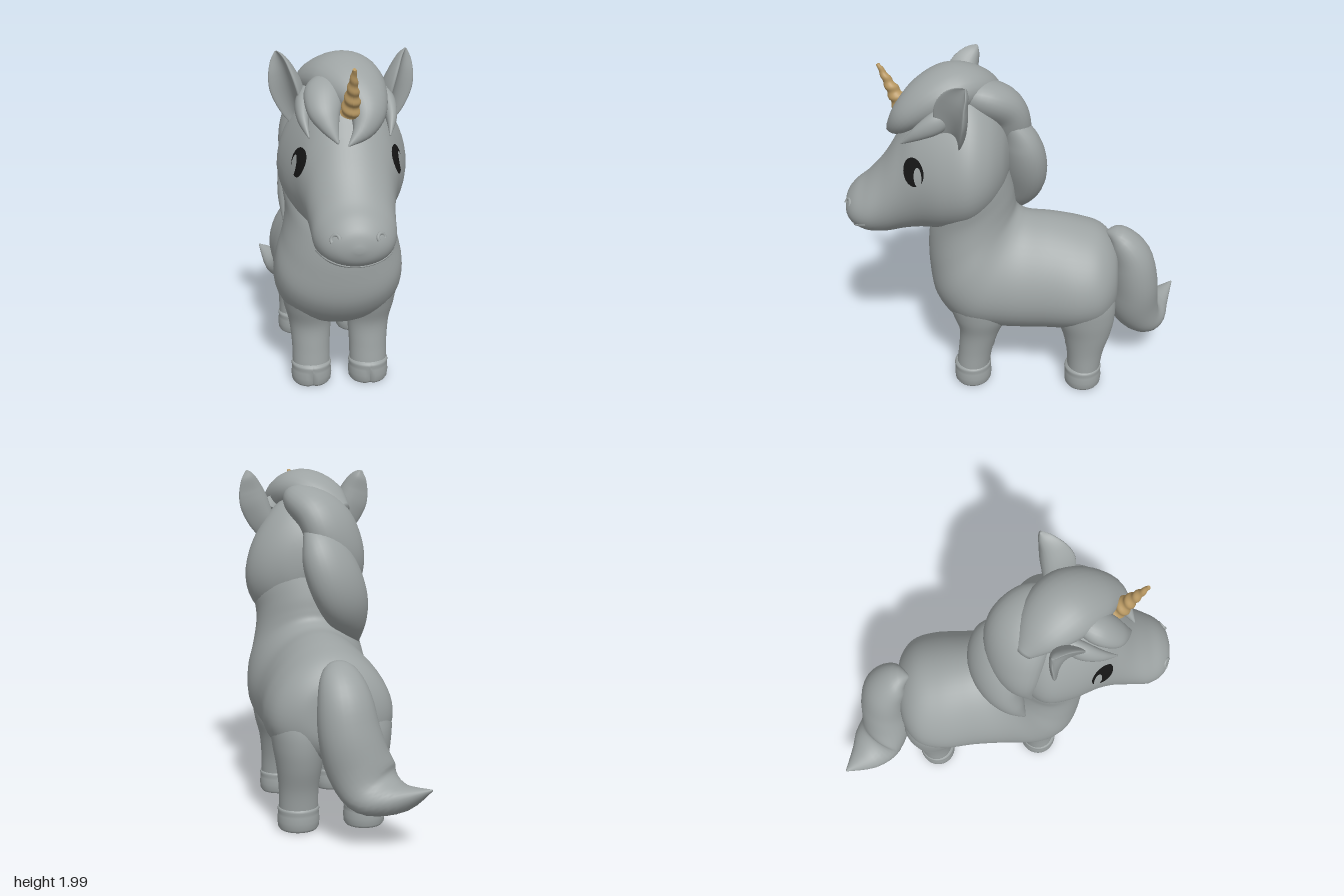
import * as THREE from 'three';

const V = (x, y, z) => new THREE.Vector3(x, y, z);

// Smooth interpolation of every column of a table of cross-sections
function sample(rows, t) {
  const f = t * (rows.length - 1), i = Math.min(Math.floor(f), rows.length - 2), w = f - i;
  const row = k => rows[Math.max(0, Math.min(rows.length - 1, k))];
  const [a, b, c, d] = [row(i - 1), row(i), row(i + 1), row(i + 2)];
  return b.map((p, k) => p + 0.5 * w * (c[k] - a[k]
    + w * (2 * a[k] - 5 * p + 4 * c[k] - d[k] + w * (3 * (p - c[k]) + d[k] - a[k]))));
}

// Closed skin over rings; ring(t) gives centre c, half-axes u and v, egg taper and cup bend
function skin(ring, steps = 40, sides = 36) {
  const pos = [], idx = [];
  for (let i = 0; i <= steps; i++) {
    const { c, u, v, egg = 0, cup = 0 } = ring(i / steps);
    for (let j = 0; j < sides; j++) {
      const a = j / sides * Math.PI * 2, co = Math.cos(a), si = Math.sin(a);
      const p = c.clone().addScaledVector(u, co * (1 - egg * si)).addScaledVector(v, si + cup * (co * co - 0.5));
      pos.push(p.x, p.y, p.z);
      if (i === steps) continue;
      const k = (j + 1) % sides, n = i * sides;
      idx.push(n + j, n + k, n + sides + j, n + k, n + sides + k, n + sides + j);
    }
  }
  const s = pos.length / 3, last = steps * sides;
  const a = ring(0).c, b = ring(1).c;
  pos.push(a.x, a.y, a.z, b.x, b.y, b.z);
  for (let j = 0; j < sides; j++) {
    const k = (j + 1) % sides;
    idx.push(s, k, j, s + 1, last + j, last + k);
  }
  const g = new THREE.BufferGeometry();
  g.setAttribute('position', new THREE.Float32BufferAttribute(pos, 3));
  g.setIndex(idx);
  g.computeVertexNormals();
  return g;
}

// Rows: top z, top y, bottom z, bottom y, half width, egg taper
const sidePairs = (rows, x, steps) => skin(t => {
  const [tz, ty, bz, by, w, egg] = sample(rows, t);
  return { c: V(x, (ty + by) / 2, (tz + bz) / 2), u: V(w, 0, 0), v: V(0, (ty - by) / 2, (tz - bz) / 2), egg };
}, steps, 48);

// Rows: x, y, z, half width, half thickness; "across" is the rough width direction
const strand = (rows, across, cup = 0) => skin(t => {
  const r = sample(rows, t), p = sample(rows, Math.max(0, t - 0.01)), q = sample(rows, Math.min(1, t + 0.01));
  const T = V(q[0] - p[0], q[1] - p[1], q[2] - p[2]).normalize();
  const u = across.clone().addScaledVector(T, -across.dot(T)).normalize();
  const v = T.clone().cross(u);
  return { c: V(r[0], r[1], r[2]), u: u.multiplyScalar(Math.max(r[3], 0.003)), v: v.multiplyScalar(Math.max(r[4], 0.003)), cup };
}, 32, 28);

const BODY = [
  [-.61, .76, -.61, .66, .03, 0], [-.59, .88, -.60, .52, .2, .06], [-.50, .99, -.52, .42, .32, .14],
  [-.36, 1.04, -.37, .38, .36, .18], [-.2, 1.07, -.15, .37, .35, .18], [-.08, 1.08, .08, .37, .35, .2],
  [-.03, 1.1, .33, .41, .365, .22], [0, 1.13, .48, .57, .355, .18], [.01, 1.18, .52, .78, .322, .08],
  [.02, 1.26, .515, .98, .305, 0], [.05, 1.4, .47, 1.15, .32, 0], [.1, 1.6, .45, 1.4, .3, 0]];
const HEAD = [
  [.04, 1.52, .04, 1.38, .04, .1], [.07, 1.64, .07, 1.27, .17, .15], [.14, 1.77, .14, 1.16, .285, .22],
  [.25, 1.86, .25, 1.07, .345, .26], [.4, 1.84, .4, 1.03, .325, .22], [.55, 1.76, .55, 1.015, .272, .12],
  [.65, 1.62, .65, 1.0, .24, .1], [.75, 1.46, .75, .98, .223, .08], [.85, 1.345, .85, .985, .212, .1],
  [.93, 1.28, .93, 1.015, .175, .1], [.98, 1.22, .98, 1.06, .11, .08], [1.0, 1.15, 1.0, 1.12, .02, 0]];
const HX = 0.02;

// Half width of the head at a given height and depth, and depth at a given x and height
function headX(y, z) {
  let lo = 0, hi = 1;
  for (let i = 0; i < 24; i++) {
    const m = (lo + hi) / 2;
    if (sample(HEAD, m)[0] < z) lo = m; else hi = m;
  }
  const [, top, , bot, w, egg] = sample(HEAD, lo);
  const s = (2 * y - top - bot) / (top - bot);
  return Math.abs(s) >= 1 ? 0 : w * Math.sqrt(1 - s * s) * (1 - egg * s);
}
function headZ(x, y) {
  let lo = 0.6, hi = 1;
  for (let i = 0; i < 24; i++) {
    const m = (lo + hi) / 2;
    if (headX(y, m) > Math.abs(x)) lo = m; else hi = m;
  }
  return lo;
}

// Thin oval laid on the side of the head
function headPatch(side, z, y, rz, ry, lift) {
  const g = new THREE.RingGeometry(0, 1, 32, 6), p = g.attributes.position;
  for (let i = 0; i < p.count; i++) {
    const pz = z + p.getX(i) * rz, py = y + p.getY(i) * ry;
    p.setXYZ(i, HX + side * (headX(py, pz) + lift), py, pz);
  }
  g.computeVertexNormals();
  return g;
}

export function createModel() {
  const root = new THREE.Group();
  const mat = (name, color, side = THREE.FrontSide) => {
    const m = new THREE.MeshStandardMaterial({ color, side });
    m.name = name;
    return m;
  };
  const grey = mat('coat grey', 0x9da3a3), gold = mat('horn tan', 0xb89862);
  const black = mat('eye black', 0x161616, THREE.DoubleSide), glint = mat('eye grey', 0x9da3a3, THREE.DoubleSide);
  const add = (name, geo, material = grey) => {
    const m = new THREE.Mesh(geo, material);
    m.name = name;
    root.add(m);
    return m;
  };

  // Trunk with neck, and head
  add('bodyAndNeck', sidePairs(BODY, 0.008, 70));
  add('head', sidePairs(HEAD, HX, 60));

  // Mouth line and nostrils
  const mouth = [];
  for (let i = -6; i <= 6; i++) {
    const x = i / 6 * 0.2, y = 1.03 + 0.06 * (i / 6) ** 2;
    mouth.push(V(HX + x, y, headZ(x, y) - 0.002));
  }
  add('mouth', new THREE.TubeGeometry(new THREE.CatmullRomCurve3(mouth), 40, 0.007, 8));
  for (const s of [-1, 1]) {
    const n = add('nostril', new THREE.TorusGeometry(0.024, 0.009, 10, 20, Math.PI * 1.2));
    n.position.set(HX + s * 0.115, 1.185, headZ(0.115, 1.185) - 0.003);
    n.rotation.set(-0.5, s * 0.6, 0);
  }

  // Legs and cleft hooves; rows of offset from the midline, z, y, half width, half depth
  const LEGS = {
    front: { mid: .015, rows: [[.17, .262, .07, .108, .1], [.17, .257, .14, .11, .1], [.17, .24, .25, .112, .104], [.172, .215, .38, .124, .122],
      [.178, .205, .5, .148, .17], [.18, .21, .62, .155, .2], [.15, .21, .76, .15, .19], [.1, .2, .9, .1, .1]] },
    rear: { mid: 0, rows: [[.19, -.415, .07, .108, .1], [.19, -.42, .14, .11, .1], [.19, -.425, .25, .112, .112], [.188, -.43, .38, .128, .145],
      [.187, -.415, .5, .148, .18], [.182, -.4, .62, .16, .19], [.16, -.38, .76, .155, .17], [.1, -.36, .9, .1, .08]] }
  };
  for (const [end, { mid, rows }] of Object.entries(LEGS)) for (const s of [-1, 1]) {
    add(end + 'Leg', skin(t => {
      const [x, z, y, w, d] = sample(rows, t);
      return { c: V(mid + s * x, y, z), u: V(w, 0, 0), v: V(0, 0, -d) };
    }, 36, 36));
    const profile = [[0, 0], [.09, 0], [.106, .004], [.115, .018], [.119, .055], [.116, .09], [.114, .105], [.118, .118], [.115, .13], [.1, .14]];
    const hoof = new THREE.LatheGeometry(profile.map(p => new THREE.Vector2(...p)), 48);
    const p = hoof.attributes.position;
    for (let i = 0; i < p.count; i++) {
      const px = p.getX(i), pz = p.getZ(i);
      if (pz > 0.05 && p.getY(i) < 0.09) p.setZ(i, pz - 0.015 * Math.exp(-((px / 0.014) ** 2)));
    }
    hoof.scale(1, 1, 0.95);
    hoof.computeVertexNormals();
    add(end + 'Hoof', hoof).position.set(mid + s * rows[0][0], 0.005, rows[0][1]);
  }

  // Tail curling to one side
  add('tail', strand([
    [0, .96, -.53, .01, .01], [0, .93, -.6, .1, .075], [-.01, .8, -.68, .15, .125], [-.03, .62, -.71, .172, .145],
    [-.08, .45, -.715, .182, .155], [-.16, .325, -.77, .18, .12], [-.27, .3, -.86, .12, .08], [-.4, .375, -.99, .005, .005]], V(1, 0, -.2)));

  // Mane locks draped over one side of the neck
  add('lowerManeLock', strand([
    [.04, 1.68, .05, .03, .03], [-.03, 1.56, 0, .14, .1], [-.09, 1.4, -.025, .18, .13],
    [-.16, 1.24, -.01, .17, .12], [-.23, 1.09, .06, .11, .08], [-.29, .96, .14, .008, .008]], V(-1, 0, .6)));
  add('upperManeLock', strand([
    [.06, 1.85, .34, .06, .05], [.02, 1.8, .215, .16, .11], [-.06, 1.72, .11, .19, .13],
    [-.13, 1.58, .08, .19, .13], [-.2, 1.41, .1, .14, .1], [-.27, 1.22, .17, .008, .008]], V(-1, -.2, .7)));

  // Forelock and fringe
  add('forelock', strand([
    [-.19, 1.74, .12, .05, .05], [-.1, 1.83, .22, .15, .1], [0, 1.86, .34, .19, .135], [.07, 1.82, .47, .17, .125],
    [.11, 1.74, .59, .11, .09], [.08, 1.66, .67, .06, .05], [0, 1.595, .735, .005, .005]], V(1, .1, -.6)));
  add('sideForelock', strand([
    [-.06, 1.86, .4, .06, .05], [-.1, 1.82, .5, .1, .07], [-.11, 1.75, .59, .09, .06],
    [-.09, 1.68, .65, .055, .04], [-.05, 1.6, .71, .005, .005]], V(1, 0, 0)));
  for (const s of [-1, 1]) add('templeLock', strand([
    [HX + s * .18, 1.8, .33, .04, .04], [HX + s * .22, 1.74, .42, .06, .045],
    [HX + s * .23, 1.68, .52, .04, .03], [HX + s * .21, 1.61, .62, .004, .004]], V(0, 1, .6)));

  // Cupped ears opening forward and outward
  for (const s of [-1, 1]) add('ear', strand([
    [HX + s * .2, 1.6, .32, .05, .035], [HX + s * .25, 1.7, .325, .09, .042], [HX + s * .287, 1.8, .32, .11, .042],
    [HX + s * .315, 1.88, .3, .095, .034], [HX + s * .338, 1.95, .265, .052, .02], [HX + s * .35, 1.985, .245, .005, .005]],
    V(.95, -.3 * s, -s * 1.2).multiplyScalar(1), -1.8));

  // Spiral horn
  const horn = new THREE.CylinderGeometry(0.01, 0.054, 0.28, 28, 60);
  const hp = horn.attributes.position;
  for (let i = 0; i < hp.count; i++) {
    const x = hp.getX(i), y = hp.getY(i), z = hp.getZ(i);
    const k = 1 + 0.11 * Math.sin(y / 0.28 * Math.PI * 9 + Math.atan2(x, z));
    hp.setXYZ(i, x * k, y, z * k);
  }
  horn.computeVertexNormals();
  const h = add('horn', horn, gold);
  h.position.set(0.022, 1.862, 0.695);
  h.rotation.x = 0.46;

  // Eyes with a pale reflection
  for (const s of [-1, 1]) {
    add('eye', headPatch(s, .552, 1.46, .06, .08, .005), black);
    add('eyeReflection', headPatch(s, .527, 1.44, .023, .055, .009), glint);
  }
  return root;
}
